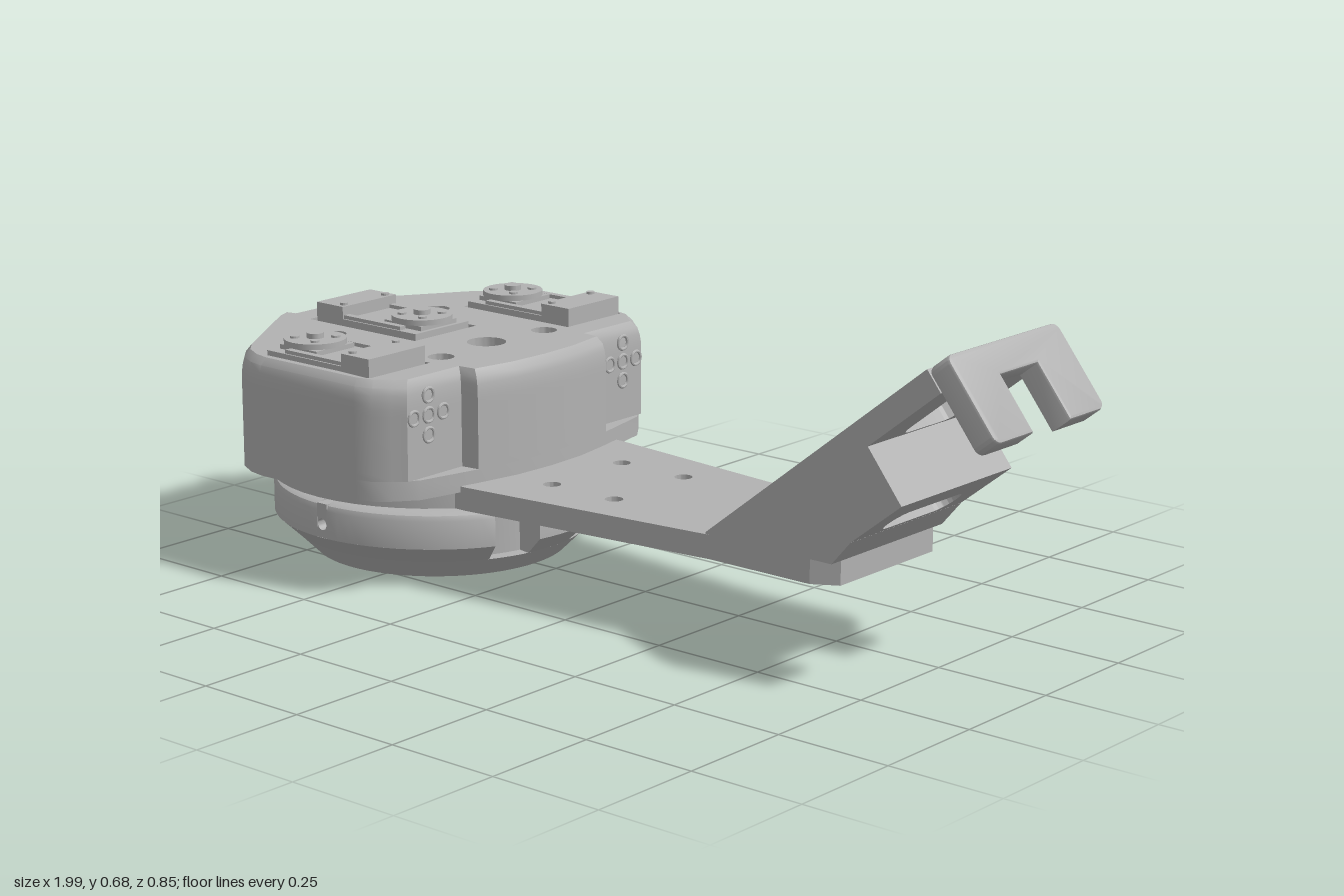
import * as THREE from 'three';
import { toCreasedNormals } from 'three/addons/utils/BufferGeometryUtils.js';

const CX = -0.585; // turntable axis
const grey = new THREE.MeshStandardMaterial({ color: 0xb2b2b2, side: THREE.DoubleSide });
grey.name = 'light grey plastic';

function add(parent, name, geo, x = 0, y = 0, z = 0) {
  const mesh = new THREE.Mesh(toCreasedNormals(geo, 0.5), grey);
  mesh.name = name;
  mesh.position.set(x, y, z);
  parent.add(mesh);
  return mesh;
}
const shapeOf = (pts) => new THREE.Shape(pts.map((p) => new THREE.Vector2(...p)));
const mirrored = (half) => [...half, ...half.slice().reverse().filter((p) => p[1] > 0).map(([x, z]) => [x, -z])];
const rect = (x0, x1, z0, z1) => shapeOf([[x0, z0], [x1, z0], [x1, z1], [x0, z1]]);
const circle = (x, z, r) => new THREE.Shape().absarc(x, z, r, 0, Math.PI * 2);
function roundRect(x0, x1, z0, z1, r) {
  const s = new THREE.Shape();
  s.absarc(x1 - r, z1 - r, r, 0, Math.PI / 2);
  s.absarc(x0 + r, z1 - r, r, Math.PI / 2, Math.PI);
  s.absarc(x0 + r, z0 + r, r, Math.PI, Math.PI * 1.5);
  s.absarc(x1 - r, z0 + r, r, Math.PI * 1.5, Math.PI * 2);
  return s;
}
// Plan shape (x, z) raised from y0 to y1
function slab(shape, holes, y0, y1, steps = 1) {
  shape.holes.push(...holes);
  const g = new THREE.ExtrudeGeometry(shape, { depth: y1 - y0, steps, bevelEnabled: false, curveSegments: 24 });
  return g.rotateX(-Math.PI / 2).translate(0, y0, 0);
}
const box = (x0, x1, y0, y1, z0, z1) =>
  new THREE.BoxGeometry(x1 - x0, y1 - y0, z1 - z0).translate((x0 + x1) / 2, (y0 + y1) / 2, (z0 + z1) / 2);
// Side profile (x, y) extruded across z
const prism = (pts, w) =>
  new THREE.ExtrudeGeometry(shapeOf(pts), { depth: 2 * w, bevelEnabled: false }).translate(0, 0, -w);

// Part of a ring with capped ends
function arc(parent, name, profile, from, to) {
  const pts = [...profile, profile[0]].map((p) => new THREE.Vector2(...p));
  add(parent, name, new THREE.LatheGeometry(pts, Math.max(2, Math.ceil((to - from) * 12)), from, to - from), CX);
  for (const phi of [from, to])
    add(parent, name + 'End', new THREE.ShapeGeometry(shapeOf(profile)).rotateY(phi - Math.PI / 2), CX);
}

function buildBase(root) {
  const base = new THREE.Group();
  base.name = 'base';
  root.add(base);
  const bolts = [0, 1, 2, 3].map((i) => circle(CX + 0.145 * Math.cos(i * Math.PI / 2), 0.145 * Math.sin(i * Math.PI / 2), 0.016));
  add(base, 'baseFloor', slab(circle(CX, 0, 0.27), [circle(CX, 0, 0.1), ...bolts], 0, 0.02));
  const H = Math.PI / 2, T = Math.PI * 2;
  arc(base, 'lowerCone', [[0.26, 0], [0.275, 0], [0.32, 0.045], [0.26, 0.045]], 0, T);
  // Rim, cut by a notch on each side of the front tab
  const n0 = 0.2, n1 = 0.49, g = 0.04;
  const cone = [[0.29, 0.045], [0.32, 0.045], [0.362, 0.085], [0.29, 0.085]];
  arc(base, 'upperCone', cone, H + n1, T + H - n1);
  arc(base, 'tabFoot', cone, H - n0, H + n0);
  const wall = [[0.29, 0.085], [0.362, 0.085], [0.362, 0.145], [0.357, 0.156], [0.345, 0.162], [0.29, 0.162]];
  for (const [a, b] of [[H - n0, H - g], [H + g, H + n0], [H + n1, 2 * H - g], [2 * H + g, 3 * H - g], [3 * H + g, T - g], [T + g, T + H - n1]])
    arc(base, 'rimWall', wall, a, b);
  for (const s of [-1, 1]) {
    const m = H + s * (n0 + n1) / 2;
    arc(base, 'notchBack', [[0.28, 0.03], [0.29, 0.03], [0.29, 0.162], [0.28, 0.162]], m - 0.17, m + 0.17);
  }
  // Drilled rim blocks
  for (let i = 0; i < 4; i++) {
    const s = rect(-0.0148, 0.0148, 0.085, 0.16);
    s.holes.push(circle(0, 0.114, 0.0125));
    const geo = new THREE.ExtrudeGeometry(s, { depth: 0.071, bevelEnabled: false }).translate(0, 0, 0.29);
    add(base, 'drilledBlock', geo.rotateY(i * H), CX);
  }
  arc(base, 'bearingRing', [[0.24, 0.14], [0.28, 0.14], [0.28, 0.18], [0.24, 0.18]], 0, T);
}

function buildArm(root) {
  const arm = new THREE.Group();
  arm.name = 'arm';
  root.add(arm);
  add(arm, 'armDisc', slab(circle(CX, 0, 0.37), [circle(-0.445, 0, 0.03)], 0.176, 0.216));
  const far = [[0.35, 0], [0.445, 0.098], [0.445, -0.098], [0.53, 0]];
  const farHoles = () => far.map(([x, z]) => circle(x, z, 0.017));
  const near = [-0.16, 0.01].flatMap((x) => [0.11, -0.11].map((z) => circle(x, z, 0.019)));
  const plan = mirrored([[-0.34, 0.245], [-0.28, 0.245], [0.32, 0.18], [0.57, 0.18], [0.622, 0.15]]);
  add(arm, 'armPlate', slab(shapeOf(plan), [...near, ...farHoles()], 0.176, 0.226));

  // Wedge: top follows the slope, far end leans outward below
  const slope = Math.atan2(0.445, 0.565), W = 0.18;
  const wedge = slab(rect(0.31, 0.554, -W, W), farHoles(), 0, 1);
  const p = wedge.attributes.position;
  for (let i = 0; i < p.count; i++) {
    const x = p.getX(i);
    if (p.getY(i) > 0.5) p.setY(i, 0.23 + Math.tan(slope) * (x - 0.31));
    else {
      p.setY(i, 0.226);
      if (x > 0.5535) p.setX(i, 0.622);
    }
  }
  wedge.computeVertexNormals();
  add(arm, 'wedge', wedge);
  add(arm, 'wedgeFiller', prism([[0.622, 0.226], [0.667, 0.278], [0.554, 0.422]], W));

  // Sloped holder, built along its own slope
  const holder = new THREE.Group();
  holder.name = 'slopedHolder';
  holder.position.set(0.31, 0.23, 0);
  holder.rotation.z = slope;
  arm.add(holder);
  add(holder, 'slottedBlock', slab(rect(0.31, 0.46, -W, W), [roundRect(0.322, 0.392, -0.11, 0.11, 0.034)], -0.183, 0));
  add(holder, 'windowPlate', slab(rect(0.46, 0.67, -W, W), [roundRect(0.466, 0.655, -0.085, 0.085, 0.03)], -0.052, 0));
  // Hooked lip with a central gap
  const lip = new THREE.Shape();
  const r = 0.018;
  lip.moveTo(0.06, -0.19).lineTo(0.06, -0.066).lineTo(-0.06, -0.066).lineTo(-0.06, -0.19);
  lip.absarc(-W + r, -0.19 + r, r, -Math.PI / 2, -Math.PI, true);
  lip.absarc(-W + r, -r, r, Math.PI, Math.PI / 2, true);
  lip.absarc(W - r, -r, r, Math.PI / 2, 0, true);
  lip.absarc(W - r, -0.19 + r, r, 0, -Math.PI / 2, true);
  const lipGeo = new THREE.ExtrudeGeometry(lip, { depth: 0.042, bevelThickness: 0.006, bevelSize: 0.006, bevelOffset: -0.006, bevelSegments: 2 });
  add(holder, 'lip', lipGeo.rotateY(Math.PI / 2).translate(0.676, 0, 0));
}

// Servo facing +x along its length, horn near the low-x end
function buildServo(root, x, z, flip) {
  const servo = new THREE.Group();
  servo.name = 'servo';
  servo.position.set(x, 0, z);
  if (flip) servo.rotation.y = Math.PI;
  root.add(servo);
  const w = 0.082;
  add(servo, 'servoCase', box(-0.15, 0.15, 0.24, 0.476, -w, w));
  add(servo, 'servoEnd', box(0.07, 0.15, 0.476, 0.503, -w, w));
  for (const s of [-1, 1]) {
    add(servo, 'servoRail', box(-0.1, 0.07, 0.476, 0.484, s * 0.07 - 0.008, s * 0.07 + 0.008));
    add(servo, 'caseScrew', new THREE.CylinderGeometry(0.009, 0.009, 0.006, 12), 0.085, 0.505, s * 0.063);
  }
  add(servo, 'gearCover', box(-0.14, -0.03, 0.476, 0.486, -0.055, 0.055));
  add(servo, 'horn', new THREE.CylinderGeometry(0.066, 0.066, 0.012, 32), -0.09, 0.492);
  add(servo, 'hornHub', new THREE.CylinderGeometry(0.018, 0.018, 0.012, 16), -0.09, 0.503);
  for (let i = 0; i < 4; i++) {
    const a = Math.PI / 4 + i * Math.PI / 2;
    add(servo, 'hornScrew', new THREE.CylinderGeometry(0.01, 0.01, 0.005, 12), -0.09 + 0.043 * Math.cos(a), 0.5, 0.043 * Math.sin(a));
  }
}

function buildHousing(root) {
  const body = new THREE.Group();
  body.name = 'housing';
  root.add(body);
  const mid = [[-0.975, 0.12], [-0.82, 0.355], [-0.785, 0.392], [-0.74, 0.415], [-0.7, 0.423], [-0.42, 0.423], [-0.38, 0.412], [-0.35, 0.385]];
  const front = [[-0.283, 0.2], [-0.265, 0.1], [-0.26, 0]];
  const full = mirrored([[-0.998, 0], [-0.995, 0.07], ...mid, [-0.315, 0.34], ...front]);
  const notched = mirrored([[-0.965, 0], [-0.965, 0.08], [-0.99, 0.085], ...mid, [-0.325, 0.365], [-0.325, 0.205], ...front]);
  const bolts = [-0.745, -0.425].flatMap((x) => [-0.16, 0.16].map((z) => [x, z]));
  const holes = () => [
    rect(-0.885, -0.565, -0.095, 0.095), rect(-0.715, -0.405, 0.214, 0.392), rect(-0.715, -0.405, -0.392, -0.214),
    circle(-0.445, 0, 0.042), ...bolts.map(([x, z]) => circle(x, z, 0.028)),
  ];
  // Outer walls draw in near the top to round the edge
  const layer = (name, pts, y0, y1, steps) => {
    const key = (x, z) => x.toFixed(4) + ',' + Math.abs(z).toFixed(4);
    const outer = new Set(pts.map(([x, z]) => key(x, z)));
    const g = slab(shapeOf(pts), holes(), y0, y1, steps), p = g.attributes.position;
    for (let i = 0; i < p.count; i++) {
      const x = p.getX(i), z = p.getZ(i);
      if (!outer.has(key(x, z))) continue;
      const t = Math.min(1, Math.max(0, (p.getY(i) - 0.405) / 0.06));
      const s = 1 - 0.05 * (1 - Math.sqrt(1 - t * t));
      p.setXYZ(i, -0.63 + (x + 0.63) * s, p.getY(i), z * s);
    }
    g.computeVertexNormals();
    add(body, name, g);
  };
  layer('housingFoot', full, 0.213, 0.255, 1);
  layer('housingShell', notched, 0.255, 0.465, 14);
  for (const [x, z] of bolts) {
    add(body, 'boltSeat', new THREE.CylinderGeometry(0.028, 0.028, 0.22, 24), x, 0.335, z);
    add(body, 'boltHead', new THREE.CylinderGeometry(0.015, 0.015, 0.01, 6), x, 0.45, z);
  }
  // Mounting pads with five screw rings
  for (const [x, z] of [[-0.324, 0.303], [-0.324, -0.303], [-0.966, 0]])
    for (const [dy, dz] of [[0, 0], [0.043, 0], [-0.043, 0], [0, 0.043], [0, -0.043]]) {
      const ring = new THREE.TorusGeometry(0.015, 0.0035, 8, 24).rotateY(Math.PI / 2);
      add(body, 'screwRing', ring, x, 0.385 + dy * 0.98, z + dz);
    }
}

export function createModel() {
  const root = new THREE.Group();
  root.name = 'turntableArm';
  buildBase(root);
  buildArm(root);
  buildHousing(root);
  buildServo(root, -0.56, 0.305, false);
  buildServo(root, -0.56, -0.305, false);
  buildServo(root, -0.725, 0, true);
  return root;
}
